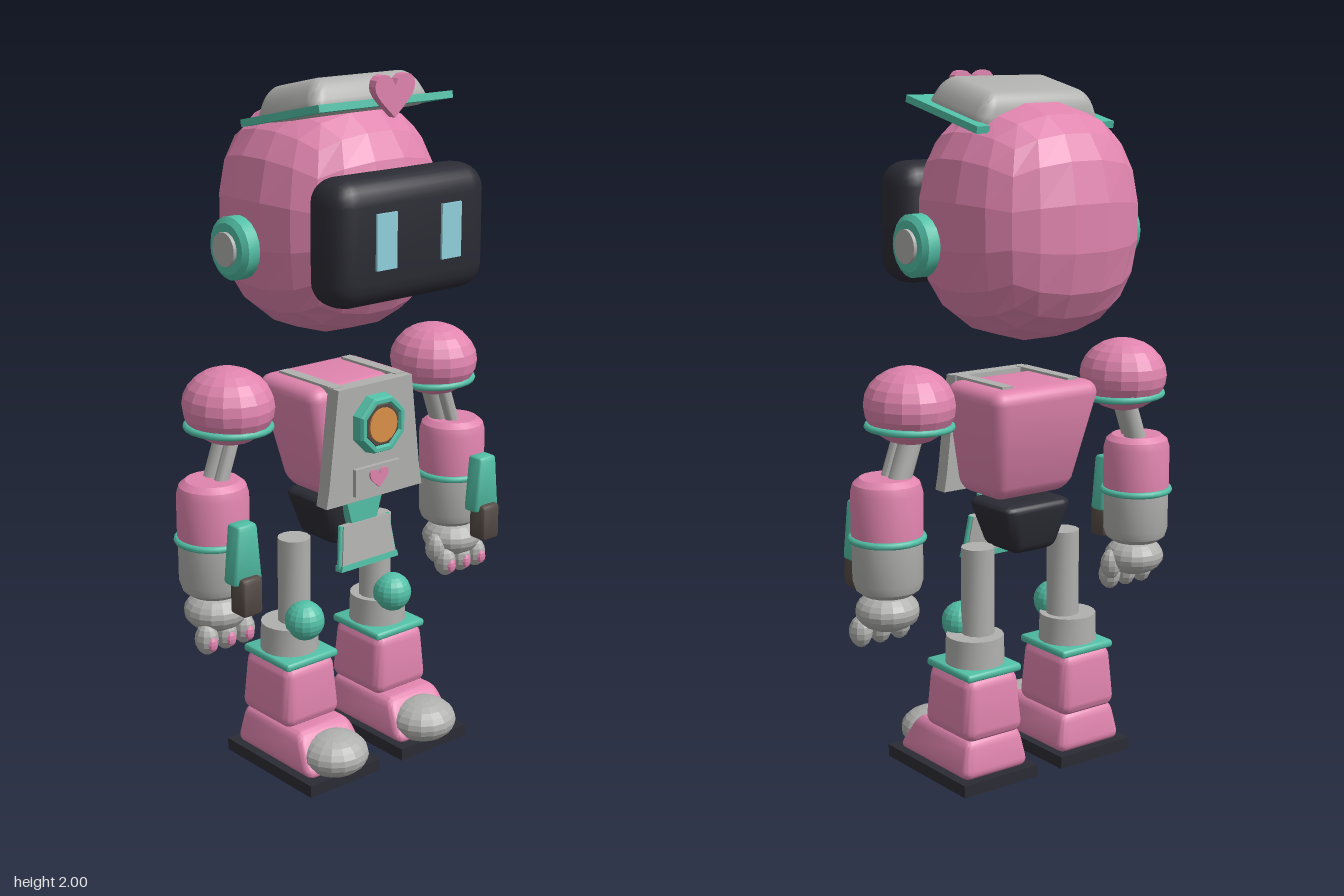
import * as THREE from 'three';
import { toCreasedNormals } from 'three/addons/utils/BufferGeometryUtils.js';
import { RoundedBoxGeometry } from 'three/addons/geometries/RoundedBoxGeometry.js';

const mat = (name, color) => {
  const m = new THREE.MeshStandardMaterial({ color });
  m.name = name;
  return m;
};

export function createModel() {
  const pink = mat('pink', 0xe084ae), teal = mat('teal', 0x52bfa6), grey = mat('grey', 0xb0b0ae);
  const dark = mat('dark', 0x2b2b34), blue = mat('light blue', 0x8fd0dc);
  const orange = mat('orange', 0xdb9048), brown = mat('brown', 0x544a45);
  const model = new THREE.Group();
  model.name = 'robot';

  const group = (name, parent = model) => {
    const g = new THREE.Group();
    g.name = name;
    parent.add(g);
    return g;
  };
  const add = (parent, name, geo, material, x = 0, y = 0, z = 0) => {
    const m = new THREE.Mesh(geo, material);
    m.name = name;
    m.position.set(x, y, z);
    parent.add(m);
    return m;
  };
  const flat = (geo) => {
    const g = geo.index ? geo.toNonIndexed() : geo;
    g.computeVertexNormals();
    return g;
  };
  const warp = (geo, rule) => {
    const p = geo.attributes.position, v = new THREE.Vector3();
    for (let i = 0; i < p.count; i++) {
      rule(v.fromBufferAttribute(p, i));
      p.setXYZ(i, v.x, v.y, v.z);
    }
    return geo;
  };
  const box = (w, h, d) => new THREE.BoxGeometry(w, h, d);
  const cyl = (r1, r2, h, n = 20) => toCreasedNormals(new THREE.CylinderGeometry(r1, r2, h, n), 0.6);
  const ball = (rx, ry, rz, w = 16, h = 12) => flat(new THREE.SphereGeometry(1, w, h).scale(rx, ry, rz));
  const lathe = (pts) => toCreasedNormals(
    new THREE.LatheGeometry(pts.map(([r, y]) => new THREE.Vector2(r, y)), 20), 0.6);
  // Rounded box whose top is scaled by sx, sz relative to its bottom
  const taper = (w, h, d, r, sx = 1, sz = 1) => toCreasedNormals(
    warp(new RoundedBoxGeometry(w, h, d, 3, r), (v) => {
      const t = v.y / h + 0.5;
      v.x *= 1 + (sx - 1) * t;
      v.z *= 1 + (sz - 1) * t;
    }), 0.6);
  const plate = (pts, depth) => new THREE.ExtrudeGeometry(
    new THREE.Shape(pts.map(([x, y]) => new THREE.Vector2(x, y))), { depth, bevelEnabled: false });
  const rod = (parent, name, a, b, r, material) => {
    const A = new THREE.Vector3(...a), B = new THREE.Vector3(...b);
    const m = add(parent, name, cyl(r, r, A.distanceTo(B), 12), material);
    m.position.copy(A).lerp(B, 0.5);
    m.quaternion.setFromUnitVectors(new THREE.Vector3(0, 1, 0), B.sub(A).normalize());
  };
  const ring = (r, t) => new THREE.TorusGeometry(r, t, 8, 24).rotateX(Math.PI / 2);
  const heart = (s, depth) => {
    const h = new THREE.Shape();
    h.moveTo(0, -s * 0.8);
    h.bezierCurveTo(-s * 0.4, -s * 0.4, -s, 0, -s, s * 0.4);
    h.bezierCurveTo(-s, s * 0.95, -s * 0.2, s, 0, s * 0.4);
    h.bezierCurveTo(s * 0.2, s, s, s * 0.95, s, s * 0.4);
    h.bezierCurveTo(s, 0, s * 0.4, -s * 0.4, 0, -s * 0.8);
    return new THREE.ExtrudeGeometry(h, { depth, bevelEnabled: false, curveSegments: 6 });
  };

  // Head: faceted rounded cube
  const head = group('head');
  const skull = warp(new THREE.BoxGeometry(2, 2, 2, 5, 5, 5), (v) => {
    const p = 2.4;
    const k = Math.pow(Math.abs(v.x) ** p + Math.abs(v.y) ** p + Math.abs(v.z) ** p, -1 / p);
    v.set(v.x * k * 0.29, v.y * k * 0.33, v.z * k * 0.288);
  });
  add(head, 'skull', flat(skull), pink, 0, 1.6, -0.045);
  add(head, 'visor', taper(0.54, 0.345, 0.165, 0.07), dark, 0, 1.583, 0.245);
  for (const s of [-1, 1]) {
    add(head, 'eye', box(0.07, 0.15, 0.008), blue, s * 0.115, 1.59, 0.33);
    const disc = lathe([[0, -0.03], [0.07, -0.03], [0.086, -0.018], [0.086, 0.018], [0.07, 0.03], [0, 0.03]]);
    add(head, 'earDisc', disc, teal, s * 0.35, 1.55, -0.012).rotation.z = Math.PI / 2;
    add(head, 'earHub', cyl(0.047, 0.047, 0.075), grey, s * 0.3525, 1.55, -0.012).rotation.z = Math.PI / 2;
  }

  // Cap: tilted dome on a brim open at the back
  const cap = group('cap', head);
  cap.position.set(0, 1.893, 0.035);
  cap.rotation.x = -0.215;
  add(cap, 'brimFront', box(0.47, 0.02, 0.055), teal, 0, 0, 0.143);
  for (const s of [-1, 1]) add(cap, 'brimSide', box(0.042, 0.02, 0.285), teal, s * 0.214, 0, -0.027);
  add(cap, 'dome', taper(0.435, 0.1, 0.285, 0.04, 0.8, 0.8), grey, 0, 0.035, -0.015);
  add(head, 'capHeart', heart(0.07, 0.026), pink, 0, 1.945, 0.205);

  // Torso
  const torso = group('torso');
  const body = warp(new RoundedBoxGeometry(0.37, 0.33, 0.27, 3, 0.04), (v) => {
    const t = 0.5 - v.y / 0.33;
    v.x *= 1 - 0.32 * t * t;
    v.z = (v.z - 0.135) * (1 - 0.3 * t * t) + 0.135;
  });
  add(torso, 'body', toCreasedNormals(body, 0.6), pink, 0, 0.98, -0.02);
  add(torso, 'chestPlate', plate([[-0.178, 0.815], [0.178, 0.815], [0.168, 0.87], [0.135, 1.15], [-0.135, 1.15], [-0.168, 0.87]], 0.045), grey, 0, 0, 0.115);
  for (const s of [-1, 1]) add(torso, 'strap', box(0.035, 0.02, 0.24), grey, s * 0.115, 1.142, 0.015);
  const octagon = (r, h) => flat(new THREE.CylinderGeometry(r * 0.93, r, h, 8).rotateX(Math.PI / 2).rotateZ(Math.PI / 8));
  add(torso, 'lampFrame', octagon(0.09, 0.03), teal, 0, 1.035, 0.172);
  add(torso, 'lampBezel', octagon(0.067, 0.006), brown, 0, 1.035, 0.188);
  add(torso, 'lamp', cyl(0.05, 0.05, 0.012).rotateX(Math.PI / 2), orange, 0, 1.035, 0.19);
  const rim = new THREE.TorusGeometry(0.075, 0.011, 6, 8).rotateZ(Math.PI / 8);
  add(torso, 'lampRim', flat(rim), teal, 0, 1.035, 0.188);
  add(torso, 'panel', box(0.165, 0.08, 0.016), grey, 0, 0.873, 0.165);
  add(torso, 'panelHeart', heart(0.034, 0.006), pink, 0, 0.875, 0.173);

  // Pelvis and front flap
  const pelvis = group('pelvis');
  add(pelvis, 'hips', taper(0.15, 0.15, 0.15, 0.025, 1.68, 1.4), dark, 0, 0.728, -0.01);
  add(pelvis, 'belt', plate([[-0.045, 0.725], [0.045, 0.725], [0.065, 0.795], [-0.065, 0.795]], 0.03), teal, 0, 0, 0.085);
  const flap = group('flap', pelvis);
  flap.position.set(0, 0.73, 0.1);
  flap.rotation.x = -0.12;
  add(flap, 'flapPlate', plate([[-0.1, -0.115], [0.1, -0.115], [0.085, 0], [-0.085, 0]], 0.024), grey);
  add(flap, 'flapTrim', plate([[-0.107, -0.13], [0.107, -0.13], [0.104, -0.113], [-0.104, -0.113]], 0.03), teal, 0, 0, -0.003);
  for (const s of [-1, 1]) rod(flap, 'flapEdge', [s * 0.102, -0.122, 0.012], [s * 0.086, 0, 0.012], 0.008, teal);

  for (const s of [-1, 1]) {
    const side = s > 0 ? 'left' : 'right';

    // Arm
    const arm = group(side + 'Arm');
    add(arm, 'shoulder', ball(0.125, 0.108, 0.135), pink, s * 0.381, 1.118, -0.014);
    const cuff = add(arm, 'shoulderRing', ring(0.116, 0.01), teal, s * 0.381, 1.06, -0.014);
    cuff.rotation.z = s * 0.03;
    rod(arm, 'upperArm', [s * 0.38, 1.04, -0.025], [s * 0.43, 0.9, -0.025], 0.032, grey);
    rod(arm, 'upperArmPiston', [s * 0.39, 1.04, 0.018], [s * 0.44, 0.9, 0.018], 0.02, grey);
    const X = s * 0.45;
    add(arm, 'forearm', lathe([[0, 0.75], [0.1, 0.75], [0.1, 0.885], [0.093, 0.91], [0.075, 0.925], [0, 0.925]]), pink, X);
    add(arm, 'forearmRing', ring(0.1, 0.01), teal, X, 0.755);
    add(arm, 'gauntlet', lathe([[0, 0.595], [0.07, 0.595], [0.09, 0.61], [0.098, 0.635], [0.098, 0.75], [0, 0.75]]), grey, X);
    add(arm, 'palm', ball(0.09, 0.058, 0.09), grey, X, 0.545, 0.005);
    for (const dx of [-0.063, 0, 0.063]) {
      add(arm, 'finger', ball(0.032, 0.045, 0.036, 10, 8), grey, X + dx, 0.485, 0.045);
      add(arm, 'fingerPad', ball(0.016, 0.022, 0.01, 8, 6), pink, X + dx, 0.478, 0.075);
    }
    add(arm, 'thumb', ball(0.03, 0.045, 0.034, 10, 8), grey, s * 0.37, 0.525, 0.02);
    add(arm, 'blaster', taper(0.098, 0.17, 0.055, 0.012, 0.65), teal, X, 0.75, 0.132);
    add(arm, 'blasterBarrel', taper(0.068, 0.11, 0.065, 0.012), brown, X, 0.633, 0.147);

    // Leg
    const leg = group(side + 'Leg');
    add(leg, 'thigh', cyl(0.048, 0.048, 0.28, 12), grey, s * 0.155, 0.54, -0.015);
    add(leg, 'knee', ball(0.058, 0.058, 0.058), teal, s * 0.168, 0.445, 0.048);
    add(leg, 'calf', cyl(0.083, 0.086, 0.1), grey, s * 0.17, 0.375, -0.02);
    add(leg, 'shinRim', taper(0.19, 0.024, 0.21, 0.01), teal, s * 0.17, 0.332, -0.015);
    add(leg, 'shin', taper(0.205, 0.19, 0.235, 0.035, 0.86, 0.88), pink, s * 0.172, 0.235, -0.015);
    const foot = warp(new RoundedBoxGeometry(0.235, 0.12, 0.36, 3, 0.03), (v) => {
      const t = v.y / 0.12 + 0.5;
      v.x *= 1 - 0.2 * t;
      v.z = (v.z + 0.18) * (1 - 0.28 * t) - 0.18 + 0.02 * t;
    });
    add(leg, 'foot', toCreasedNormals(foot, 0.6), pink, s * 0.172, 0.092, 0.042);
    add(leg, 'toeCap', ball(0.1, 0.063, 0.1), grey, s * 0.172, 0.08, 0.185);
    add(leg, 'sole', box(0.258, 0.036, 0.39), dark, s * 0.173, 0.018, 0.043);
  }
  return model;
}
